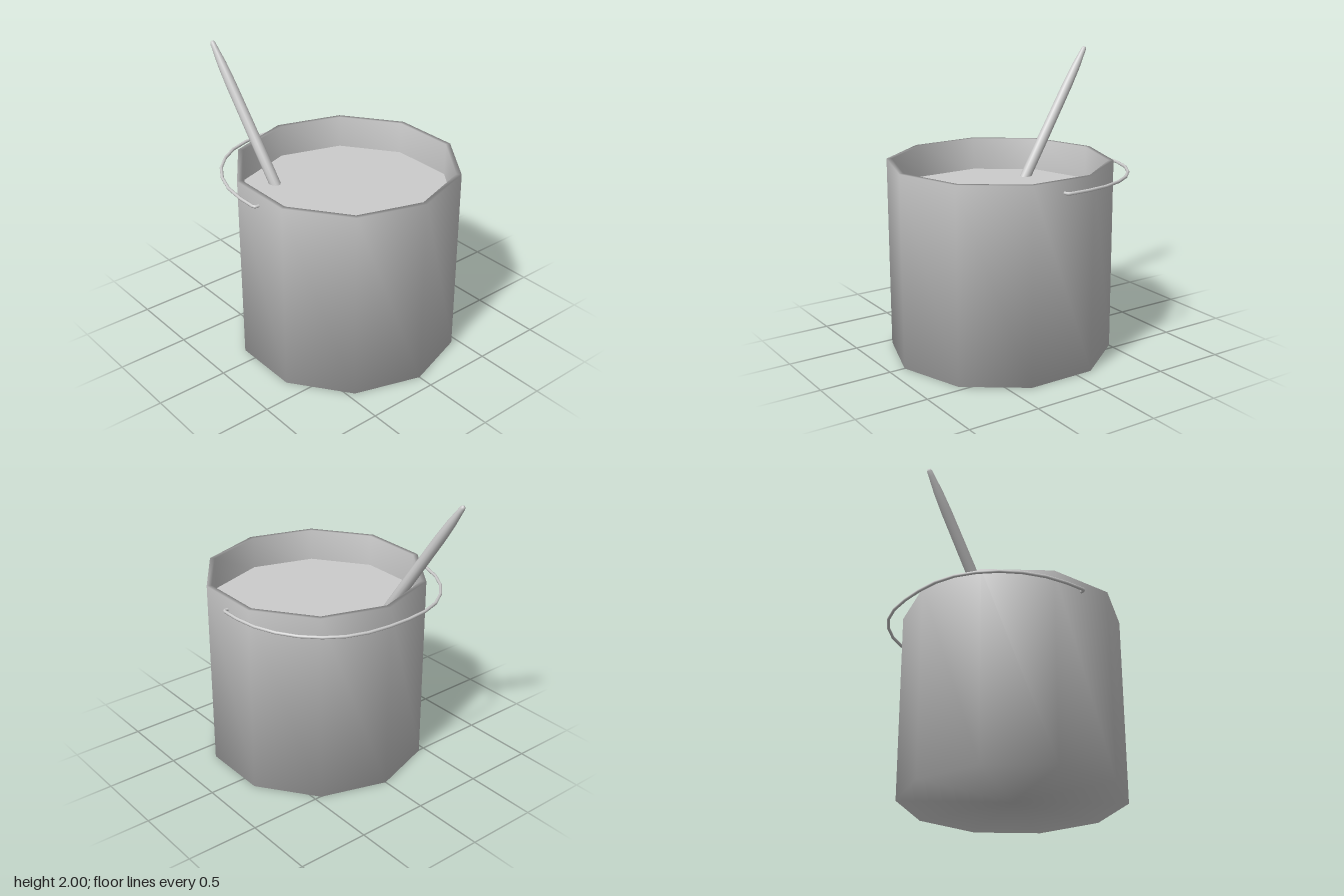
import * as THREE from 'three';

const CENTRE_X = 0.12;
const SIDES = 10;
const RADIUS = 0.77, INNER = 0.735, HEIGHT = 1.34, FILL = 1.11;

const v2 = (pairs) => pairs.map(([x, y]) => new THREE.Vector2(x, y));

export function createModel() {
  const group = new THREE.Group();
  const material = new THREE.MeshStandardMaterial({ color: 0xcccccc, side: THREE.DoubleSide });
  const add = (name, geometry) => {
    const mesh = new THREE.Mesh(geometry, material);
    mesh.name = name;
    group.add(mesh);
    return mesh;
  };

  // Ten-sided bucket: base, outer wall, rim and inner wall in one softly shaded profile
  const profile = v2([[0, 0], [RADIUS, 0], [RADIUS, HEIGHT], [INNER, HEIGHT], [INNER, FILL - 0.02]]);
  add('bucket', new THREE.LatheGeometry(profile, SIDES, Math.PI / 2)).position.x = CENTRE_X;

  // Flat surface of the contents
  const fill = new THREE.CircleGeometry(INNER, SIDES).rotateX(-Math.PI / 2);
  add('contents', fill).position.set(CENTRE_X, FILL, 0);

  // Wire handle lying level around the -x side, mirrored front to back
  const half = [
    [0.115, 0.725], [0.115, 0.752], [0.11, 0.761], [0.095, 0.766], [-0.04, 0.766],
    [-0.2, 0.745], [-0.35, 0.692], [-0.48, 0.612], [-0.586, 0.507],
    [-0.666, 0.385], [-0.714, 0.24], [-0.732, 0.08],
  ];
  const mirrored = half.map(([x, z]) => [x, -z]).reverse();
  const path = new THREE.CatmullRomCurve3(
    [...half, ...mirrored].map(([x, z]) => new THREE.Vector3(x, 1.26, z)));
  // Sample exactly at the control points to keep the bends faceted
  path.getPointAt = path.getPoint;
  path.getTangentAt = path.getTangent;
  add('handle', new THREE.TubeGeometry(path, path.points.length - 1, 0.011, 8));

  // Slanted stick with a tapered tip, standing in the contents
  const foot = new THREE.Vector3(-0.277, 1.07, 0.294);
  const tip = new THREE.Vector3(-0.882, 2.0, 0.371);
  const axis = tip.clone().sub(foot);
  const length = axis.length();
  const stickProfile = v2([
    [0, 0], [0.039, 0], [0.039, 0.3], [0.036, 0.72], [0.031, 0.85],
    [0.021, 0.95], [0.018, 0.985], [0.011, 0.997], [0, 1],
  ]).map((p) => p.setY(p.y * length));
  const stick = add('stick', new THREE.LatheGeometry(stickProfile, 12));
  stick.position.copy(foot);
  stick.quaternion.setFromUnitVectors(new THREE.Vector3(0, 1, 0), axis.normalize());

  return group;
}
